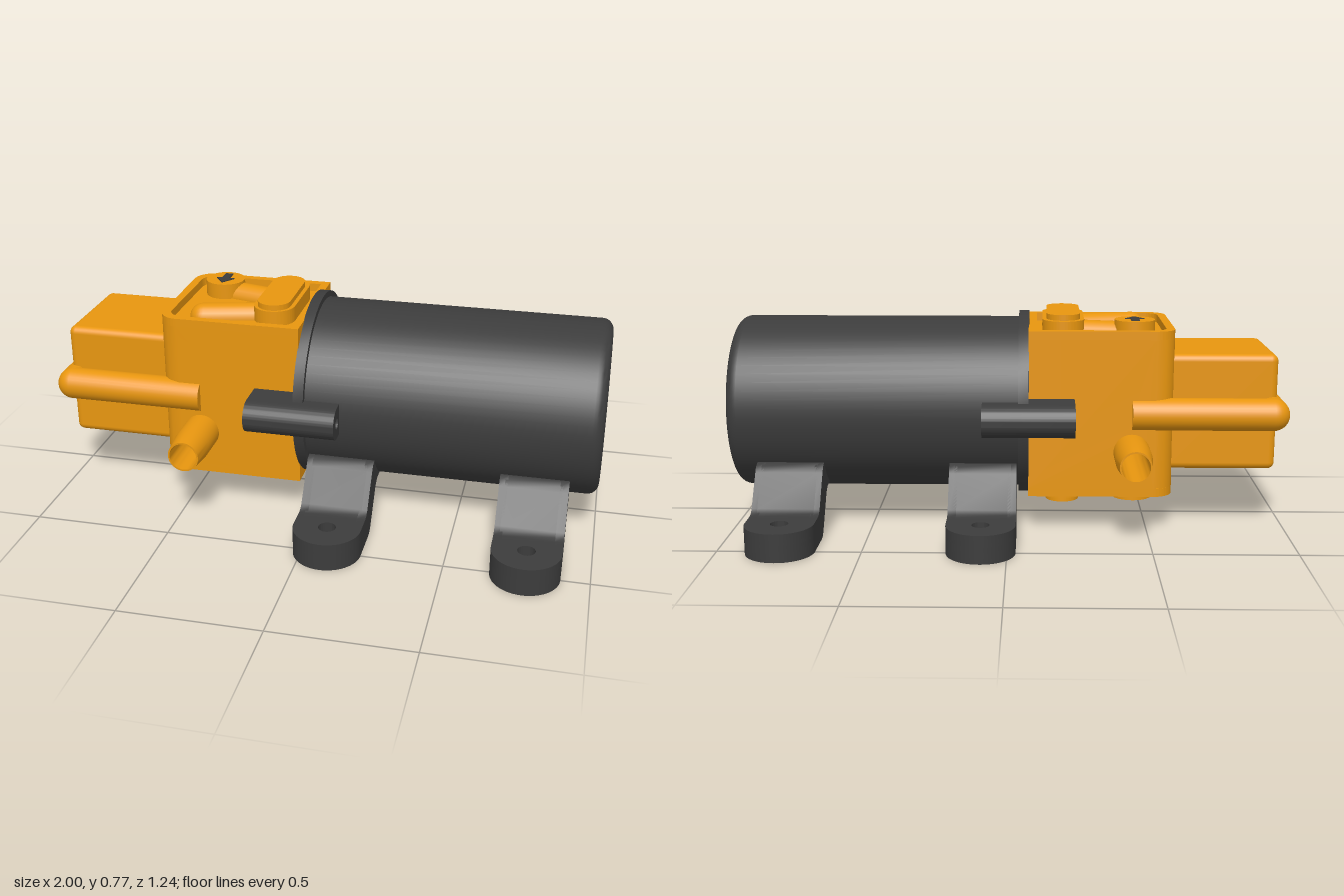
import * as THREE from 'three';
import { toCreasedNormals } from 'three/addons/utils/BufferGeometryUtils.js';
import { RoundedBoxGeometry } from 'three/addons/geometries/RoundedBoxGeometry.js';

const dark = new THREE.MeshStandardMaterial({ color: 0x3c3c3c });
const orange = new THREE.MeshStandardMaterial({ color: 0xe8960f });
const AXIS = 0.43; // height of the motor axis

function add(parent, name, geometry, material, x = 0, y = 0, z = 0) {
  const mesh = new THREE.Mesh(geometry, material);
  mesh.name = name;
  mesh.position.set(x, y, z);
  parent.add(mesh);
  return mesh;
}
const V = (x, y) => new THREE.Vector2(x, y);
const polygon = (pts) => new THREE.Shape(pts.map(([x, y]) => V(x, y)));
const circle = (x, y, r) => new THREE.Path().absarc(x, y, r, 0, Math.PI * 2, true);
const extrude = (shape, depth, steps = 1) =>
  new THREE.ExtrudeGeometry(shape, { depth, steps, bevelEnabled: false, curveSegments: 20 });
const crease = (g) => toCreasedNormals(g, 0.6);

// Plan outline (x, z) extruded between two heights
function slab(shape, y0, y1) {
  return crease(extrude(shape, y1 - y0).rotateX(Math.PI / 2).translate(0, y1, 0));
}
// Side profile (z, y) extruded along x, centred on cx
function alongX(shape, width, cx = 0) {
  return crease(extrude(shape, width).rotateY(-Math.PI / 2).translate(cx + width / 2, 0, 0));
}
// Slot outline running along z
function slot(cx, z0, z1, r) {
  const s = new THREE.Shape();
  s.absarc(cx, z1 - r, r, 0, Math.PI);
  s.absarc(cx, z0 + r, r, Math.PI, Math.PI * 2);
  return s.closePath();
}
// Rectangle in plan with its two outer (-x) corners rounded
function headOutline(x0, x1, hz, r) {
  const s = new THREE.Shape();
  s.moveTo(x1, -hz).lineTo(x1, hz).lineTo(x0 + r, hz);
  s.absarc(x0 + r, hz - r, r, Math.PI / 2, Math.PI);
  s.absarc(x0 + r, r - hz, r, Math.PI, Math.PI * 1.5);
  return s.closePath();
}
function lathe(pts, segments = 64) {
  return crease(new THREE.LatheGeometry(pts.map(([r, h]) => V(r, h)), segments));
}

function buildMotor(root) {
  const pts = [[0, -0.06], [0.316, -0.06], [0.316, 0.96]];
  for (let i = 1; i <= 6; i++) {
    const a = (i / 6) * Math.PI / 2;
    pts.push([0.276 + 0.04 * Math.cos(a), 0.96 + 0.04 * Math.sin(a)]);
  }
  pts.push([0, 1]);
  add(root, 'motorCan', lathe(pts).rotateZ(-Math.PI / 2), dark, 0, AXIS);
  add(root, 'motorFlange', lathe([[0, -0.072], [0.338, -0.072], [0.338, -0.035], [0, -0.035]])
    .rotateZ(-Math.PI / 2), dark, 0, AXIS);
}

function buildHead(root) {
  // Body with a cross bore; its outer vertical edges are rounded by moving vertices
  const shape = polygon([[-0.59, 0.16], [-0.07, 0.16], [-0.07, 0.7], [-0.59, 0.7]]);
  shape.holes.push(circle(-0.44, 0.295, 0.05));
  const g = extrude(shape, 0.5, 50).translate(0, 0, -0.25);
  const p = g.attributes.position, r = 0.07;
  for (let i = 0; i < p.count; i++) {
    const d = Math.max(0, Math.abs(p.getZ(i)) - (0.25 - r));
    if (p.getX(i) < -0.58) p.setX(i, -0.59 + r - Math.sqrt(Math.max(0, r * r - d * d)));
  }
  add(root, 'pumpBody', crease(g), orange);

  // Raised rim, channels and covers, the same on top and underneath
  for (const top of [true, false]) {
    const face = new THREE.Group();
    face.name = top ? 'topFace' : 'bottomFace';
    root.add(face);
    const plate = (name, s, y0, y1, mat = orange) =>
      add(face, name, top ? slab(s, y0, y1) : slab(s, 2 * AXIS - y1, 2 * AXIS - y0), mat);
    const rim = headOutline(-0.59, -0.07, 0.25, 0.07);
    rim.holes.push(headOutline(-0.56, -0.1, 0.22, 0.05));
    plate('rim', rim, 0.7, 0.73);
    plate('ovalBase', slot(-0.195, -0.19, 0.17, 0.075), 0.69, 0.755);
    plate('ovalCover', slot(-0.195, -0.165, 0.16, 0.06), 0.75, 0.775);
    const disc = new THREE.Shape().absarc(-0.45, -0.13, 0.073, 0, Math.PI * 2);
    plate('disc', disc, 0.69, 0.757);
    if (top) {
      const arrow = polygon([[-0.465, -0.18], [-0.435, -0.18], [-0.435, -0.13], [-0.415, -0.13],
        [-0.45, -0.08], [-0.485, -0.13], [-0.465, -0.13]]);
      plate('flowArrow', arrow, 0.75, 0.76, dark);
    }
    for (const [x0, z0, x1, z1] of [[-0.455, 0.125, -0.24, 0.07], [-0.44, -0.13, -0.24, -0.08]]) {
      const a = new THREE.Vector3(x0, 0, z0), b = new THREE.Vector3(x1, 0, z1);
      const m = add(face, 'channel', new THREE.CapsuleGeometry(0.05, a.distanceTo(b), 8, 20), orange,
        (x0 + x1) / 2, top ? 0.698 : 2 * AXIS - 0.698, (z0 + z1) / 2);
      m.quaternion.setFromUnitVectors(new THREE.Vector3(0, 1, 0), b.sub(a).normalize());
    }
  }

  // Hose ports on both sides, open right through
  const port = lathe([[0.05, 0.22], [0.065, 0.22], [0.065, 0.365], [0.056, 0.463], [0.05, 0.463], [0.05, 0.22]], 40);
  for (const s of [1, -1]) {
    add(root, s > 0 ? 'frontPort' : 'rearPort', port, orange, -0.44, 0.295).rotation.x = s * Math.PI / 2;
  }
}

function buildSwitchHousing(root) {
  add(root, 'switchHousing', new RoundedBoxGeometry(0.4, 0.42, 0.4, 4, 0.025), orange, -0.76, AXIS);
  // Round band wrapped around the housing
  const r = 0.058, x = -0.942, z = 0.227;
  for (const s of [1, -1]) {
    add(root, 'bandSide', new THREE.CylinderGeometry(r, r, 0.502, 32), orange, -0.691, AXIS, s * z)
      .rotation.z = Math.PI / 2;
    add(root, 'bandCorner', new THREE.SphereGeometry(r, 32, 20), orange, x, AXIS, s * z);
  }
  add(root, 'bandEnd', new THREE.CylinderGeometry(r, r, 2 * z, 32), orange, x, AXIS, 0)
    .rotation.x = Math.PI / 2;
}

function buildScrewBoss(root, side) {
  const s = new THREE.Shape();
  s.moveTo(0.24, -0.058).lineTo(0.35, -0.058);
  s.absarc(0.35, 0, 0.058, -Math.PI / 2, Math.PI / 2);
  s.lineTo(0.24, 0.058).closePath();
  s.holes.push(circle(0.348, 0, 0.021));
  const m = add(root, side > 0 ? 'frontScrewBoss' : 'rearScrewBoss', alongX(s, 0.325), dark, -0.072, AXIS);
  if (side < 0) m.rotation.y = Math.PI;
}

function buildFoot(root, x, side) {
  const foot = new THREE.Group();
  foot.name = side > 0 ? 'frontFoot' : 'rearFoot';
  foot.position.x = x;
  if (side < 0) foot.rotation.y = Math.PI;
  root.add(foot);

  // Sloping leg: thin plate with a rib along each edge
  const upper = [[0.46, 0.1], [0.42, 0.1], [0.4, 0.105], [0.385, 0.118], [0.305, 0.228], [0.29, 0.246],
    [0.265, 0.255], [0.1, 0.255]];
  const plate = polygon([...upper, [0.1, 0.22], [0.2, 0.22], [0.265, 0.205], [0.355, 0.08], [0.39, 0.06], [0.46, 0.06]]);
  const rib = polygon([...upper, [0.1, 0.2], [0.165, 0.155], [0.19, 0.155], [0.21, 0.153], [0.235, 0.138],
    [0.325, 0.018], [0.34, 0.005], [0.36, 0], [0.46, 0]]);
  add(foot, 'legPlate', alongX(plate, 0.2), dark);
  for (const s of [1, -1]) add(foot, 'legRib', alongX(rib, 0.03, s * 0.105), dark);

  // Round-ended pad, hollow below, with a bolt hole
  const pad = new THREE.Shape();
  pad.moveTo(0.12, 0.46).lineTo(0.12, 0.498);
  pad.absarc(0, 0.498, 0.12, 0, Math.PI);
  pad.lineTo(-0.12, 0.46).closePath();
  pad.holes.push(circle(0, 0.498, 0.031));
  // The boss reaches back past the pad joint, so a small tongue closes the gap under the plate
  add(foot, 'padPlate', slab(pad, 0.06, 0.1), dark);
  const wall = new THREE.Shape();
  wall.moveTo(0.12, 0.46).lineTo(0.12, 0.498);
  wall.absarc(0, 0.498, 0.12, 0, Math.PI);
  wall.lineTo(-0.12, 0.46).lineTo(-0.09, 0.46).lineTo(-0.09, 0.498);
  wall.absarc(0, 0.498, 0.09, Math.PI, 0, true);
  wall.lineTo(0.09, 0.46).closePath();
  add(foot, 'padWall', slab(wall, 0, 0.07), dark);
  const boss = new THREE.Shape().absarc(0, 0.498, 0.06, 0, Math.PI * 2);
  boss.holes.push(circle(0, 0.498, 0.031));
  add(foot, 'boltBoss', slab(boss, 0.015, 0.06), dark);
}

export function createModel() {
  const root = new THREE.Group();
  root.name = 'diaphragmPump';
  buildMotor(root);
  buildHead(root);
  buildSwitchHousing(root);
  for (const side of [1, -1]) {
    buildScrewBoss(root, side);
    for (const x of [0.09, 0.78]) buildFoot(root, x, side);
  }
  return root;
}
